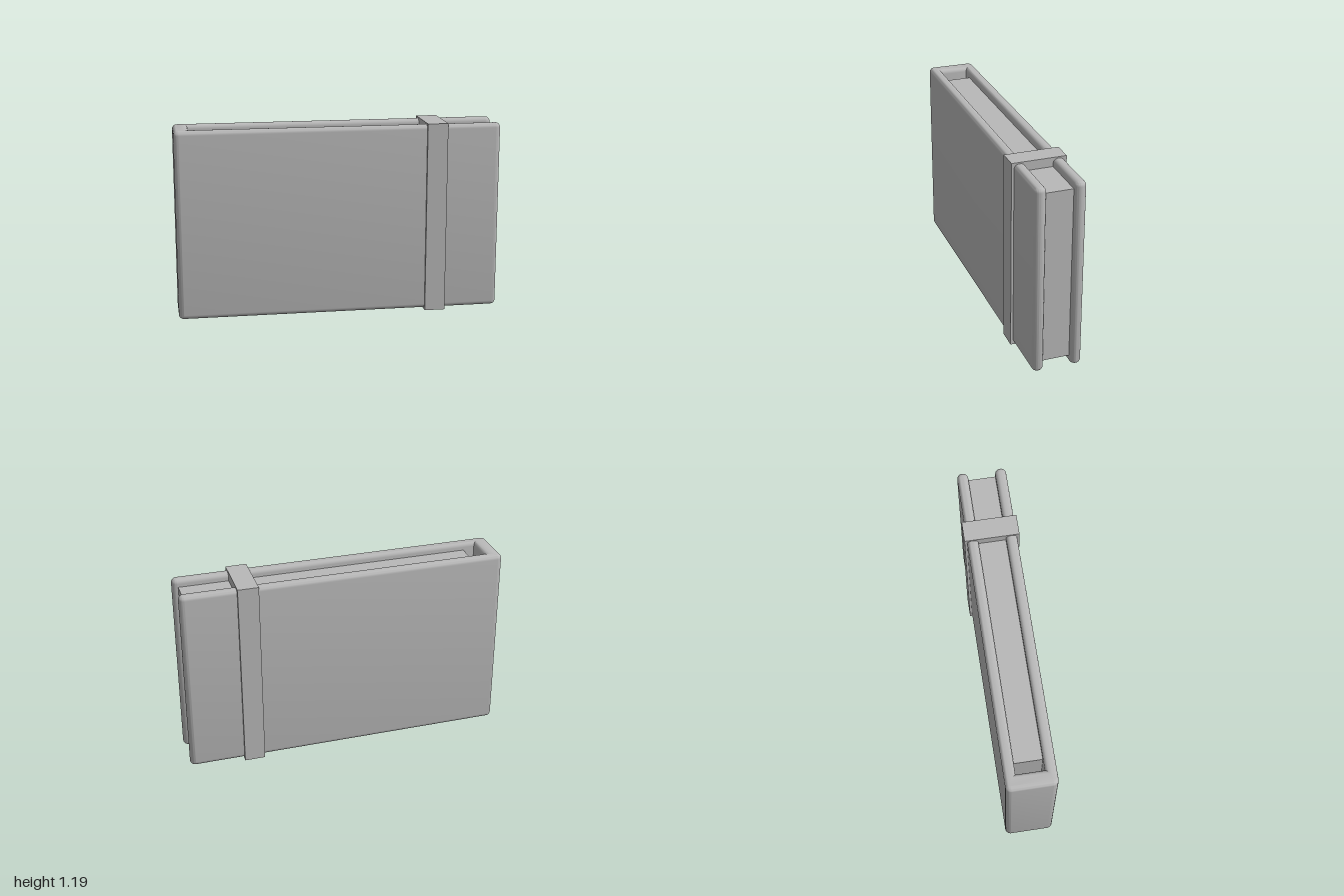
import * as THREE from 'three';
import { toCreasedNormals } from 'three/addons/utils/BufferGeometryUtils.js';

const grey = new THREE.MeshStandardMaterial({ color: 0xb8b8b8 });
grey.name = 'grey';

// Box from its minimum and maximum corners
function box(name, [x0, y0, z0], [x1, y1, z1]) {
  const mesh = new THREE.Mesh(new THREE.BoxGeometry(x1 - x0, y1 - y0, z1 - z0), grey);
  mesh.position.set((x0 + x1) / 2, (y0 + y1) / 2, (z0 + z1) / 2);
  mesh.name = name;
  return mesh;
}

// Two covers joined by a spine: a U outline, extruded upward with rounded edges
function makeCover() {
  const round = 0.028, r = 0.005; // edge rounding and corner radius of the core outline
  const end = 1 - round, outer = 0.15 - round, inner = 0.083 + round, spine = -0.905 - round;
  const bottom = 0.01, top = 1.177;

  const s = new THREE.Shape();
  const quarter = (x, z, a) => s.absarc(x, z, r, a, a + Math.PI / 2, false);
  quarter(-end + r, -outer + r, Math.PI);
  quarter(end - r, -outer + r, -Math.PI / 2);
  quarter(end - r, -inner - r, 0);
  s.lineTo(spine, -inner);
  s.lineTo(spine, inner);
  quarter(end - r, inner + r, -Math.PI / 2);
  quarter(end - r, outer - r, 0);
  quarter(-end + r, outer - r, Math.PI / 2);
  s.closePath();

  const geometry = new THREE.ExtrudeGeometry(s, {
    depth: top - bottom - 2 * round,
    bevelEnabled: true, bevelThickness: round, bevelSize: round, bevelSegments: 6,
    curveSegments: 6,
  });
  geometry.rotateX(-Math.PI / 2);
  geometry.translate(0, bottom + round, 0);
  const mesh = new THREE.Mesh(toCreasedNormals(geometry, 0.6), grey);
  mesh.name = 'coverAndSpine';
  return mesh;
}

export function createModel() {
  const notebook = new THREE.Group();
  notebook.name = 'notebook';
  notebook.add(
    makeCover(),
    // Block of pages between the covers
    box('pages', [-0.835, 0.06, -0.085], [0.965, 1.13, 0.085]),
    // Closing strap around the covers
    box('strap', [0.535, 0, -0.165], [0.662, 1.186, 0.165]),
  );
  return notebook;
}
